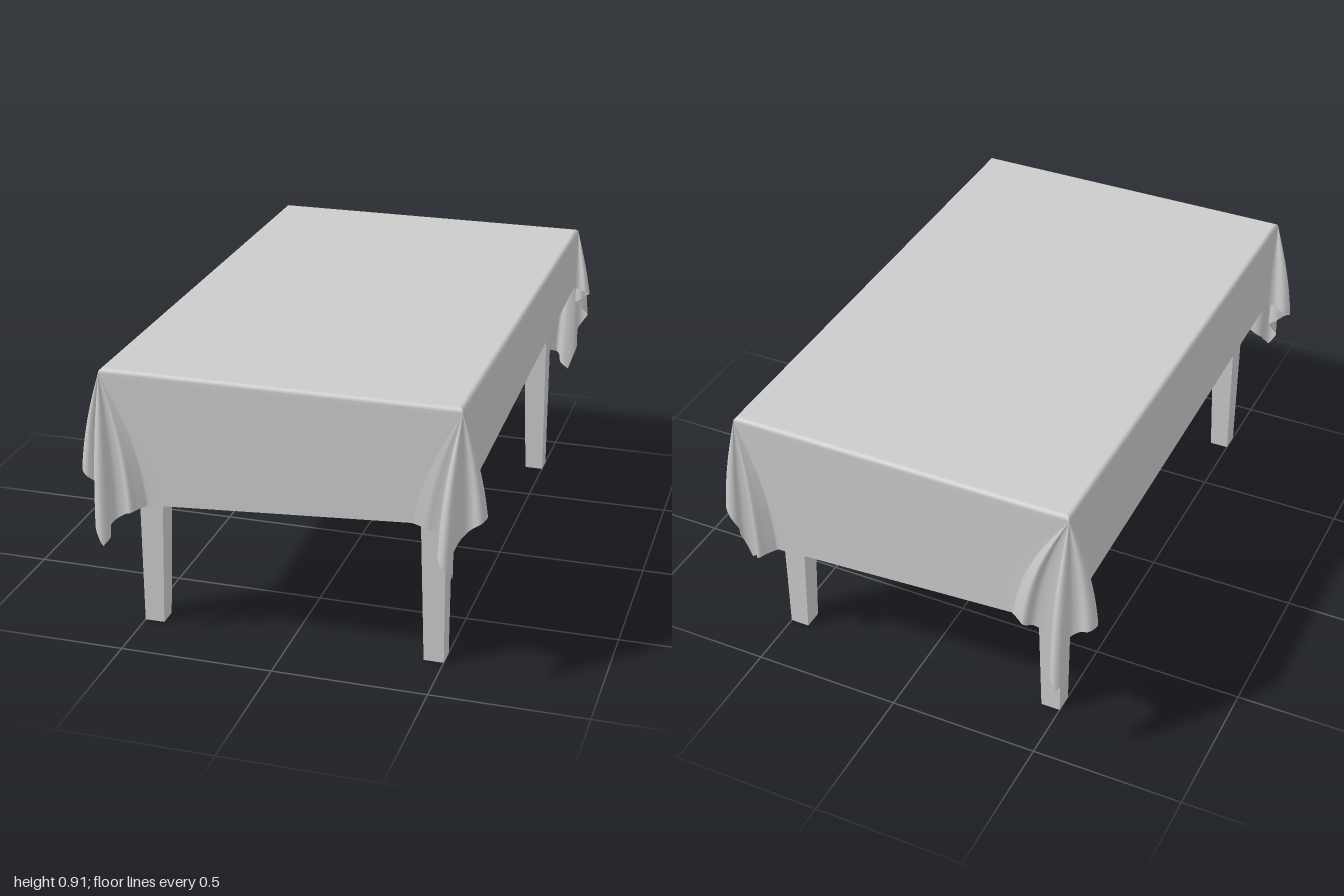
import * as THREE from 'three';

const TOP = 0.91, HX = 0.57, HZ = 0.91, ROUND = 0.015;

// Cloth corners, in order round the table. a, b: drop of the long and short side;
// ux: reach of the sideways fold; wz, vz: place and reach of the end fold; sx, s: small extra fold
const CORNERS = [
  { x: 1, z: 1, a: 0.31, b: 0.385, ux: 0.085, wz: -0.03, vz: 0.085, sx: -0.11, s: 0.006 },
  { x: -1, z: 1, a: 0.31, b: 0.44, ux: 0.095, wz: -0.01, vz: 0.065, sx: -0.1, s: 0.04 },
  { x: -1, z: -1, a: 0.375, b: 0.44, ux: 0.09, wz: 0.0, vz: 0.09, sx: -0.14, s: 0.025 },
  { x: 1, z: -1, a: 0.215, b: 0.49, ux: 0.08, wz: 0.025, vz: 0.045, sx: -0.07, s: 0.045 },
];

// Plan outline of the gathered folds, measured outward from the table corner
function foldCurve({ ux, wz, vz, sx, s }) {
  const v = -0.035;
  const pts = [
    [0, -0.1], [0.002, -0.065], [0.03, v - 0.012], [ux * 0.75, v - 0.024], [ux, v],
    [ux * 0.75, v + 0.024], [0.03, v + 0.012], [0, -0.008],
    [wz + 0.012, vz * 0.35], [wz + 0.024, vz * 0.75], [wz, vz], [wz - 0.024, vz * 0.75],
    [wz - 0.014, vz * 0.3], [wz - 0.03, 0.002],
    [sx + 0.025, 0.002], [sx + 0.012, s * 0.75], [sx, s], [sx - 0.02, s * 0.6], [sx - 0.05, 0],
  ];
  return new THREE.CatmullRomCurve3(pts.map(([u, w]) => new THREE.Vector3(u, 0, w)), false, 'centripetal');
}

// One column per position along the hem: its drop and its plan position for fold size q
function clothColumns() {
  const N = 72, WALL = 14;
  const corners = CORNERS.map((c, k) => {
    const curve = foldCurve(c);
    const cols = [];
    for (let i = 0; i <= N; i++) {
      const t = i / N, th = t * Math.PI / 2;
      const p = curve.getPointAt(t);
      const flat = Math.min(c.a / Math.max(Math.cos(th), 1e-6), c.b / Math.max(Math.sin(th), 1e-6));
      cols.push({
        drop: flat * (1 + 0.06 * Math.sin(2 * th)),
        at: (q, ox, oz) => [c.x * (ox + p.x * q), c.z * (oz + p.z * q)],
      });
    }
    return k % 2 ? cols.reverse() : cols;
  });
  const all = [];
  corners.forEach((cols, k) => {
    all.push(...cols);
    const A = cols[N], B = corners[(k + 1) % 4][0];
    // Straight side between two corners
    for (let i = 1; i < WALL; i++) {
      const t = i / WALL;
      all.push({
        drop: A.drop + (B.drop - A.drop) * t,
        at: (q, ox, oz) => {
          const p = A.at(q, ox, oz), r = B.at(q, ox, oz);
          return [p[0] + (r[0] - p[0]) * t, p[1] + (r[1] - p[1]) * t];
        },
      });
    }
  });
  return all;
}

function clothGeometry() {
  const cols = clothColumns(), n = cols.length, ARC = 4, DOWN = 20;
  const pos = [0, TOP, 0], idx = [];
  // Rounded rim
  for (let j = 0; j < ARC; j++) {
    const f = (j / ARC) * Math.PI / 2;
    const inset = ROUND * (1 - Math.sin(f)), y = TOP - ROUND * (1 - Math.cos(f));
    for (const c of cols) {
      const [x, z] = c.at(0.004, HX - inset, HZ - inset);
      pos.push(x, y, z);
    }
  }
  // Hanging skirt, its corner folds opening downward
  for (let j = 0; j <= DOWN; j++) {
    for (const c of cols) {
      const r = ROUND + (c.drop - ROUND) * (j / DOWN);
      const [x, z] = c.at(1.1 * Math.tanh((r - ROUND) / 0.3) + 0.004, HX, HZ);
      pos.push(x, TOP - r, z);
    }
  }
  const rows = ARC + DOWN + 1;
  for (let i = 0; i < n; i++) {
    const k = (i + 1) % n;
    idx.push(0, 1 + k, 1 + i);
    for (let j = 0; j < rows - 1; j++) {
      const a = 1 + j * n + i, b = 1 + j * n + k;
      idx.push(a, b, b + n, a, b + n, a + n);
    }
  }
  const g = new THREE.BufferGeometry();
  g.setAttribute('position', new THREE.Float32BufferAttribute(pos, 3));
  g.setIndex(idx);
  g.computeVertexNormals();
  return g;
}

// Square leg: outer faces upright, inner faces tapering to the foot
function legGeometry(sx, sz) {
  const H = 0.83, g = new THREE.BoxGeometry(1, H, 1), p = g.attributes.position;
  for (let i = 0; i < p.count; i++) {
    const w = p.getY(i) > 0 ? 0.09 : 0.065;
    const inX = p.getX(i) * sx < 0 ? w : 0, inZ = p.getZ(i) * sz < 0 ? w : 0;
    p.setXYZ(i, sx * (0.5 - inX), p.getY(i) + H / 2, sz * (0.8 - inZ));
  }
  g.computeVertexNormals();
  return g;
}

export function createModel() {
  const model = new THREE.Group();
  model.name = 'tableWithCloth';
  const wood = new THREE.MeshStandardMaterial({ color: 0xcccccc });
  const fabric = new THREE.MeshStandardMaterial({ color: 0xcccccc, side: THREE.DoubleSide });
  const add = (name, geometry, material) => {
    const mesh = new THREE.Mesh(geometry, material);
    mesh.name = name;
    model.add(mesh);
    return mesh;
  };

  add('tablecloth', clothGeometry(), fabric);
  add('tabletop', new THREE.BoxGeometry(2 * HX - 0.03, 0.08, 2 * HZ - 0.03), wood).position.y = 0.86;

  for (const [sx, side] of [[1, 'Left'], [-1, 'Right']])
    for (const [sz, end] of [[1, 'front'], [-1, 'back']])
      add(`${end}${side}Leg`, legGeometry(sx, sz), wood);

  return model;
}
